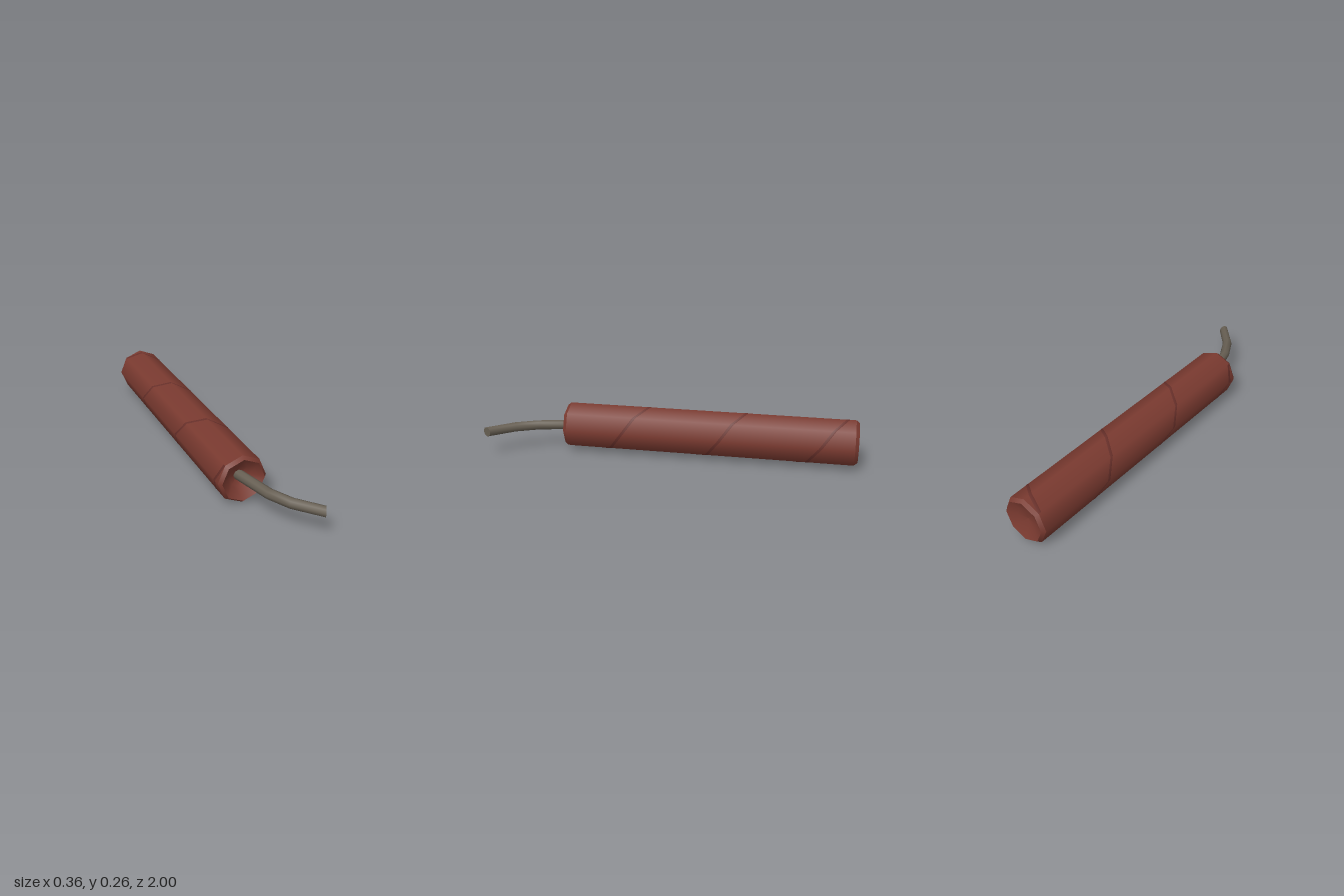
import * as THREE from 'three';

const CX = -0.053, CY = 0.1285, R = 0.127, SIDES = 8;

const paper = new THREE.MeshStandardMaterial({ color: 0x7a3a30 });
const seamPaper = new THREE.MeshStandardMaterial({ color: 0x68302a, side: THREE.DoubleSide });
const cord = new THREE.MeshStandardMaterial({ color: 0x665e52 });

// One revolved piece of the tube from [radius, z] points, listed back to front
function ring(name, points) {
  const profile = points.map(([r, z]) => new THREE.Vector2(r, z));
  const mesh = new THREE.Mesh(new THREE.LatheGeometry(profile, SIDES), paper);
  mesh.name = name;
  mesh.rotation.x = Math.PI / 2;
  mesh.position.set(CX, CY, 0);
  return mesh;
}

// Raised edge of the paper wrap, winding round the tube
function wrapSeam() {
  const pos = [], index = [];
  const profile = [[-0.009, 0], [0, 0.0015], [0.009, 0]];
  const first = -17, last = 7;
  for (let n = first; n <= last; n++) {
    const a = (n * Math.PI * 2) / SIDES;
    const z = THREE.MathUtils.clamp(0.12 + (0.53 * n) / SIDES, -0.975, 0.553);
    for (const [dz, dr] of profile) {
      const r = R + 0.0002 + dr;
      pos.push(CX + r * Math.sin(a), CY + r * Math.cos(a), z + dz);
    }
    if (n === last) continue;
    for (let j = 0; j < 2; j++) {
      const p = (n - first) * 3 + j;
      index.push(p, p + 1, p + 3, p + 1, p + 4, p + 3);
    }
  }
  const geo = new THREE.BufferGeometry();
  geo.setAttribute('position', new THREE.Float32BufferAttribute(pos, 3));
  geo.setIndex(index);
  geo.computeVertexNormals();
  const mesh = new THREE.Mesh(geo, seamPaper);
  mesh.name = 'wrapSeam';
  return mesh;
}

// Fuse: a cylinder whose rings are moved along a bent path of [x, z, turn]
function fuse() {
  const path = [
    [-0.056, 0.5, 0.26], [0.003, 0.74, 0.37], [0.06, 0.855, 0.62], [0.167, 0.976, 1.08],
  ];
  const n = path.length - 1;
  const geo = new THREE.CylinderGeometry(0.027, 0.027, 1, SIDES, n);
  const p = geo.attributes.position;
  for (let i = 0; i < p.count; i++) {
    const [x, z, turn] = path[Math.round((p.getY(i) + 0.5) * n)];
    const across = p.getX(i);
    p.setXYZ(i, x + across * Math.cos(turn), CY + 0.0015 - p.getZ(i), z - across * Math.sin(turn));
  }
  geo.computeVertexNormals();
  const mesh = new THREE.Mesh(geo, cord);
  mesh.name = 'fuse';
  return mesh;
}

export function createModel() {
  const model = new THREE.Group();
  model.name = 'firecracker';

  const tube = new THREE.Group();
  tube.name = 'tube';
  tube.add(
    ring('backDish', [[0, -0.97], [0.06, -0.978], [0.112, -1]]),
    ring('backRim', [[0.112, -1], [R, -0.982]]),
    ring('tubeWall', [[R, -0.982], [R, 0.56]]),
    ring('frontRim', [[R, 0.56], [0.112, 0.58]]),
    ring('frontRecess', [[0.112, 0.58], [0.055, 0.53], [0, 0.505]]),
    wrapSeam(),
  );
  model.add(tube, fuse());
  return model;
}
